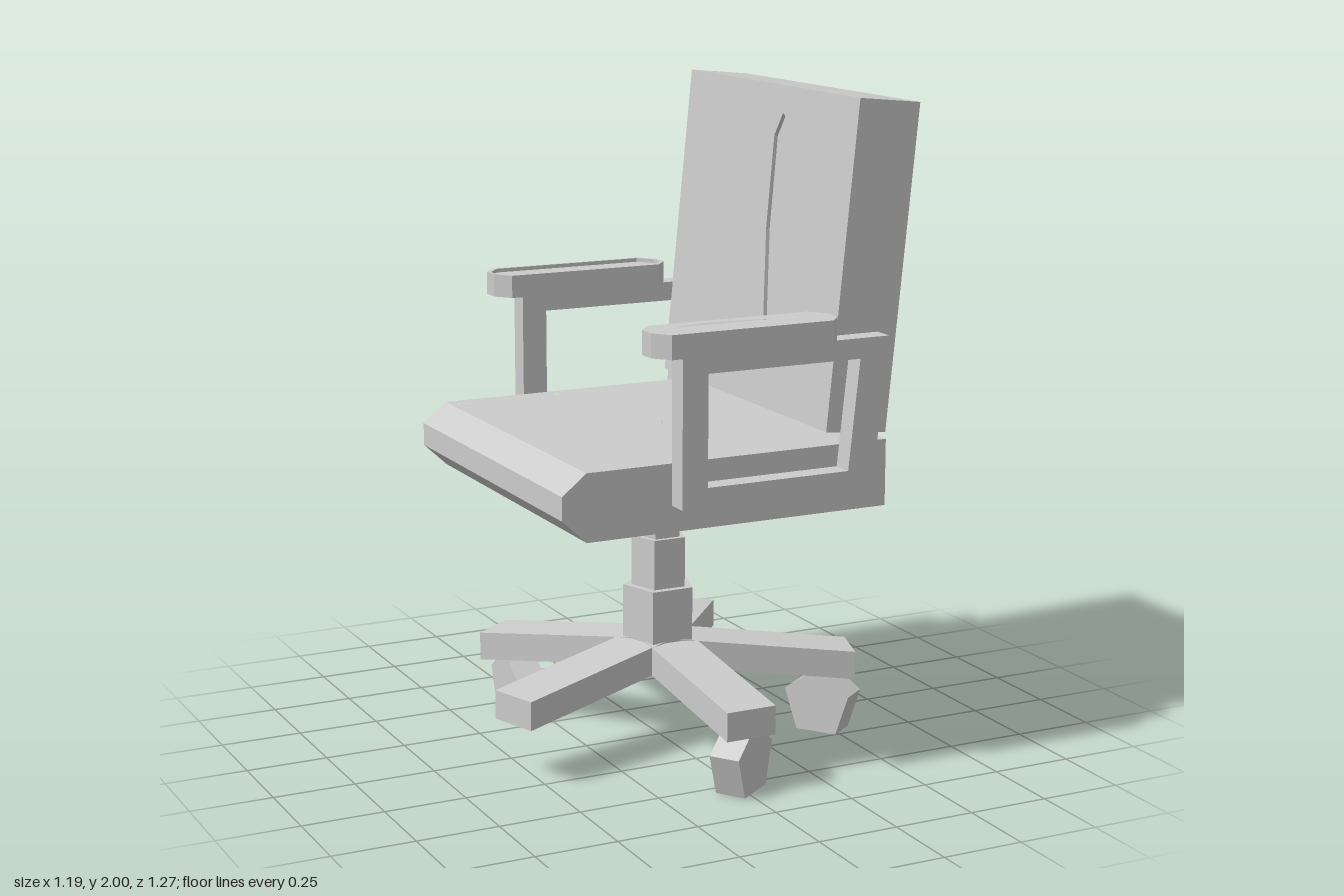
import * as THREE from 'three';

const mat = new THREE.MeshStandardMaterial({ color: 0xcccccc, flatShading: true });
const rad = THREE.MathUtils.degToRad;
const DENT = 0.012; // depth of the shallow recesses

function shapeOf(pts, holes = []) {
  const s = new THREE.Shape(pts.map(p => new THREE.Vector2(...p)));
  holes.forEach(h => s.holes.push(new THREE.Path(h.map(p => new THREE.Vector2(...p)))));
  return s;
}

// Extrusion along +z, starting at z0
function prism(pts, depth, z0 = 0, holes = []) {
  return new THREE.ExtrudeGeometry(shapeOf(pts, holes), { depth, bevelEnabled: false }).translate(0, 0, z0);
}

// Horizontal slab from an outline in (x, z), rising from y0
function slab(pts, height, y0, holes = []) {
  const flip = list => list.map(([x, z]) => [x, -z]);
  return prism(flip(pts), height, 0, holes.map(flip)).rotateX(-Math.PI / 2).translate(0, y0, 0);
}

function add(parent, name, geometry) {
  const mesh = new THREE.Mesh(geometry, mat);
  mesh.name = name;
  parent.add(mesh);
  return mesh;
}

const rect = (x0, y0, x1, y1) => [[x0, y0], [x1, y0], [x1, y1], [x0, y1]];

function makeSeat() {
  const g = new THREE.Group();
  g.name = 'seat';
  // Cushion with a chamfered front edge
  const top = 1 - DENT;
  add(g, 'seatCushion', prism([[-0.56, 0.87], [-0.485, 0.8], [0.48, 0.8], [0.48, top],
    [-0.485, top], [-0.485, 1], [-0.56, 0.94]], 1.05, -0.525));
  // Top skin with two worn recesses
  add(g, 'seatTop', slab(rect(-0.485, -0.525, 0.48, 0.525), DENT, top, [
    [[-0.465, -0.49], [-0.245, -0.405], [-0.12, -0.49], [-0.08, -0.31], [-0.12, -0.165], [-0.245, -0.1], [-0.465, -0.225]],
    [[-0.12, 0.045], [0, 0.02], [0.07, -0.145], [0.175, -0.125], [0.255, 0.08], [0.255, 0.27],
      [0.135, 0.46], [0.07, 0.46], [-0.07, 0.32], [-0.12, 0.26]],
  ]));
  add(g, 'seatPlate', new THREE.BoxGeometry(0.44, 0.04, 0.48).translate(0, 0.782, 0));
  return g;
}

function makeBackrest() {
  const g = new THREE.Group();
  g.name = 'backrest';
  g.position.set(0.426, 1.51, 0);
  g.rotation.z = -0.1;
  const h = 0.4825, t = 0.1;
  add(g, 'backCore', new THREE.BoxGeometry(2 * (t - DENT), 2 * h, 1.05));
  // Rear skin with two recesses, listed as (z, world height)
  const rear = [
    [[0.42, 1.13], [0.36, 1.08], [0.23, 1.15], [0.205, 1.25], [0.205, 1.55], [0.24, 1.605], [0.385, 1.55], [0.42, 1.32]],
    [[-0.095, 1.37], [-0.21, 1.265], [-0.385, 1.3], [-0.385, 1.82], [-0.215, 1.92], [-0.095, 1.84]],
  ].map(l => l.map(([z, y]) => [-z, y - 1.5]));
  add(g, 'backRearSkin', prism(rect(-0.525, -h, 0.525, h), DENT, t - DENT, rear).rotateY(Math.PI / 2));
  // Front skin with one recess
  const front = [[0.1, 1.23], [0.055, 1.57], [0.05, 1.85], [0.09, 1.92], [0.29, 1.81], [0.29, 1.57], [0.21, 1.27]]
    .map(([z, y]) => [z, y - 1.52]);
  add(g, 'backFrontSkin', prism(rect(-0.525, -h, 0.525, h), DENT, t - DENT, [front]).rotateY(-Math.PI / 2));
  return g;
}

// Octagonal armrest outline in (x, z), shrunk by an inset
function padOutline(side, i) {
  const x0 = -0.315 + i, x1 = 0.275 - i, z0 = 0.478 + i, z1 = 0.635 - i, c = 0.04, d = 0.05;
  return [[x0, z0 + d], [x0 + c, z0], [x1 - c, z0], [x1, z0 + d],
    [x1, z1 - d], [x1 - c, z1], [x0 + c, z1], [x0, z1 - d]].map(([x, z]) => [x, side * z]);
}

function makeArm(side) {
  const g = new THREE.Group();
  g.name = side > 0 ? 'armFrontSide' : 'armRearSide';
  // Open frame with a slanted rear upright
  add(g, 'armFrame', prism(
    [[-0.22, 0.877], [0.395, 0.877], [0.445, 1.322], [-0.22, 1.322]], 0.067, side > 0 ? 0.524 : -0.591,
    [[[-0.14, 0.935], [0.315, 0.935], [0.35, 1.262], [-0.14, 1.262]]]));
  // Pad with a shallow recess on top
  const dent = side > 0
    ? [[-0.24, 0.58], [-0.21, 0.53], [-0.09, 0.507], [0.07, 0.53], [0.105, 0.58], [-0.09, 0.605]]
    : padOutline(side, 0.01);
  add(g, 'armPad', slab(padOutline(side, 0), 0.07 - DENT, 1.32));
  add(g, 'armPadTop', slab(padOutline(side, 0), DENT, 1.39 - DENT, [dent]));
  return g;
}

function makeBase() {
  const g = new THREE.Group();
  g.name = 'base';
  // Stepped five-sided column
  for (const [r, y0, y1] of [[0.113, 0.25, 0.488], [0.087, 0.488, 0.643], [0.069, 0.643, 0.765]]) {
    add(g, 'column', new THREE.CylinderGeometry(r, r, y1 - y0, 5, 1, false, Math.PI)
      .translate(0, (y0 + y1) / 2, 0));
  }
  // Five sloping legs
  for (let i = 0; i < 5; i++) {
    const leg = add(g, 'leg', prism([[0, 0.245], [0.6, 0.175], [0.6, 0.263], [0, 0.333]], 0.158, -0.079));
    leg.rotation.y = -rad(18 + 72 * i);
  }
  // Three remaining five-sided casters: x, z, axle angle
  for (const [x, z, a] of [[0, 0.537, 55], [0.485, 0.168, 144], [-0.302, -0.403, 0]]) {
    const wheel = add(g, 'caster', new THREE.CylinderGeometry(0.113, 0.113, 0.095, 5, 1, false, -Math.PI / 2)
      .rotateZ(-Math.PI / 2));
    wheel.position.set(x, 0.0915, z);
    wheel.rotation.y = -rad(a);
  }
  return g;
}

export function createModel() {
  const model = new THREE.Group();
  model.name = 'officeChair';
  model.add(makeSeat(), makeBackrest(), makeArm(1), makeArm(-1), makeBase());
  return model;
}
